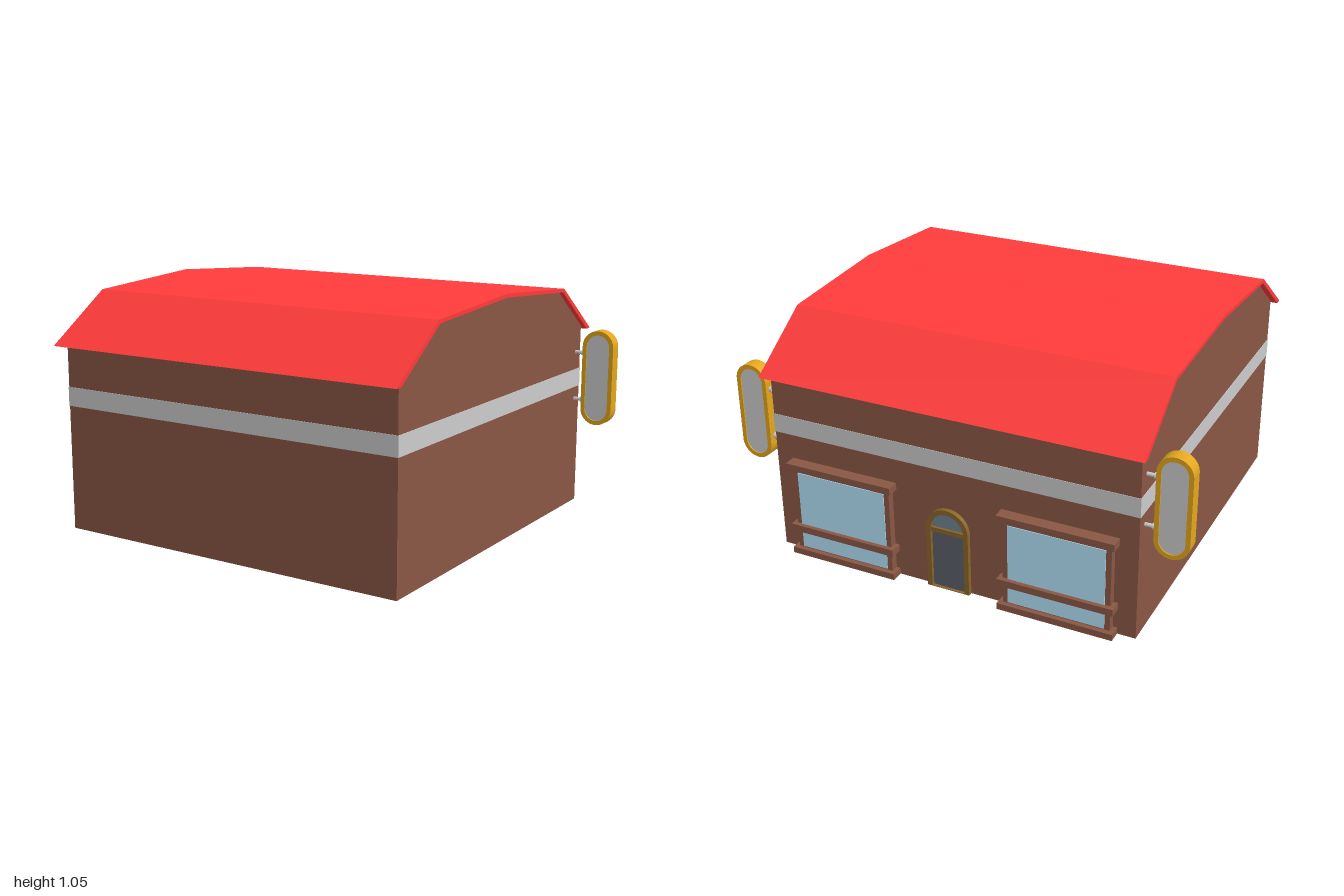
import * as THREE from 'three';

const mat = (color) => new THREE.MeshStandardMaterial({ color, flatShading: true });
const brown = mat(0x8a5744), red = mat(0xff3b3b), grey = mat(0xcccccc), gold = mat(0xe3a61c);
const trim = mat(0x8a6428), glass = mat(0xb4e4fa), slate = mat(0x5a5e68), darkGlass = mat(0x6d8490);
const salmon = mat(0xf5866c);

function add(parent, name, geometry, material, x = 0, y = 0, z = 0) {
  const mesh = new THREE.Mesh(geometry, material);
  mesh.name = name;
  mesh.position.set(x, y, z);
  parent.add(mesh);
  return mesh;
}

// Box given by its min and max corners
function box(parent, name, material, [x0, y0, z0], [x1, y1, z1]) {
  return add(parent, name, new THREE.BoxGeometry(x1 - x0, y1 - y0, z1 - z0), material,
    (x0 + x1) / 2, (y0 + y1) / 2, (z0 + z1) / 2);
}

const extrude = (shape, depth) =>
  new THREE.ExtrudeGeometry(shape, { depth, bevelEnabled: false, curveSegments: 16 });

// Extrudes a (z, y) half profile, mirrored front to back, along x
function alongX(points, length) {
  const shape = new THREE.Shape(points.map(([z, y]) => new THREE.Vector2(z, y)));
  return extrude(shape, length).translate(0, 0, -length / 2).rotateY(-Math.PI / 2);
}

// Upright pill outline centred on the origin
function pill(radius, halfHeight, Type = THREE.Shape) {
  const s = new Type(), c = halfHeight - radius;
  s.absarc(0, c, radius, 0, Math.PI, false);
  s.absarc(0, -c, radius, Math.PI, Math.PI * 2, false);
  s.closePath();
  return s;
}

// Outline with a straight foot and a round top
function arch(radius, foot, spring, Type = THREE.Shape) {
  const s = new Type();
  s.moveTo(-radius, foot);
  s.lineTo(radius, foot);
  s.absarc(0, spring, radius, 0, Math.PI, false);
  s.closePath();
  return s;
}

function hangingSign(side) {
  const g = new THREE.Group();
  g.name = side > 0 ? 'leftSign' : 'rightSign';
  const ring = pill(0.072, 0.214);
  ring.holes.push(pill(0.053, 0.195, THREE.Path));
  add(g, 'signRim', extrude(ring, 0.06), gold, side * 0.928, 0.598, -0.79);
  add(g, 'signPanel', extrude(pill(0.054, 0.196), 0.05), grey, side * 0.928, 0.598, -0.785);
  for (const y of [0.49, 0.705]) {
    const rod = (name, r, x0, x1) => {
      const geo = new THREE.CylinderGeometry(r, r, x1 - x0, 12).rotateZ(Math.PI / 2);
      add(g, name, geo, grey, side * (x0 + x1) / 2, y, -0.76);
    };
    rod('signRod', 0.008, 0.8, 0.86);
    rod('signCollar', 0.013, 0.842, 0.862);
  }
  return g;
}

function bayWindow(side) {
  const g = new THREE.Group();
  g.name = side > 0 ? 'leftWindow' : 'rightWindow';
  g.position.x = side * 0.485;
  box(g, 'windowBay', brown, [-0.23, 0.003, -0.843], [0.23, 0.43, -0.8]);
  box(g, 'windowGlass', glass, [-0.207, 0.035, -0.846], [0.207, 0.39, -0.84]);
  for (const [y0, y1] of [[0.002, 0.03], [0.115, 0.145], [0.405, 0.435]])
    box(g, 'windowLedge', brown, [-0.248, y0, -0.864], [0.248, y1, -0.8]);
  return g;
}

function door() {
  const g = new THREE.Group();
  g.name = 'door';
  const frame = arch(0.095, 0.002, 0.28);
  frame.holes.push(arch(0.074, 0.004, 0.28, THREE.Path));
  add(g, 'doorFrame', extrude(frame, 0.03), trim, 0, 0, -0.83);
  add(g, 'doorTransomWindow', extrude(arch(0.076, 0.27, 0.28), 0.01), darkGlass, 0, 0, -0.815);
  box(g, 'doorLeaf', slate, [-0.076, 0.003, -0.816], [0.076, 0.27, -0.806]);
  box(g, 'doorTransomBar', trim, [-0.08, 0.262, -0.826], [0.08, 0.282, -0.8]);
  return g;
}

export function createModel() {
  const model = new THREE.Group();
  model.name = 'house';

  // Walls with gabled sides
  const walls = [[0.81, 0.002], [0.81, 0.825], [0.552, 1.002], [0, 1.037],
    [-0.552, 1.002], [-0.81, 0.825], [-0.81, 0.002]];
  add(model, 'walls', alongX(walls, 1.62), brown);
  box(model, 'wallBand', grey, [-0.812, 0.543, -0.812], [0.812, 0.625, 0.812]);
  box(model, 'floorPanel', salmon, [-0.27, 0, -0.27], [0.27, 0.01, 0.27]);

  // Four-pitch roof sheet
  const roof = [[0.863, 0.805], [0.56, 1.013], [0, 1.05], [-0.56, 1.013], [-0.863, 0.805],
    [-0.83, 0.803], [-0.55, 0.998], [0, 1.034], [0.55, 0.998], [0.83, 0.803]];
  add(model, 'roof', alongX(roof, 1.668), red, -0.003);

  // Back facade and hanging signs
  model.add(door());
  for (const side of [-1, 1]) model.add(bayWindow(side), hangingSign(side));
  return model;
}
